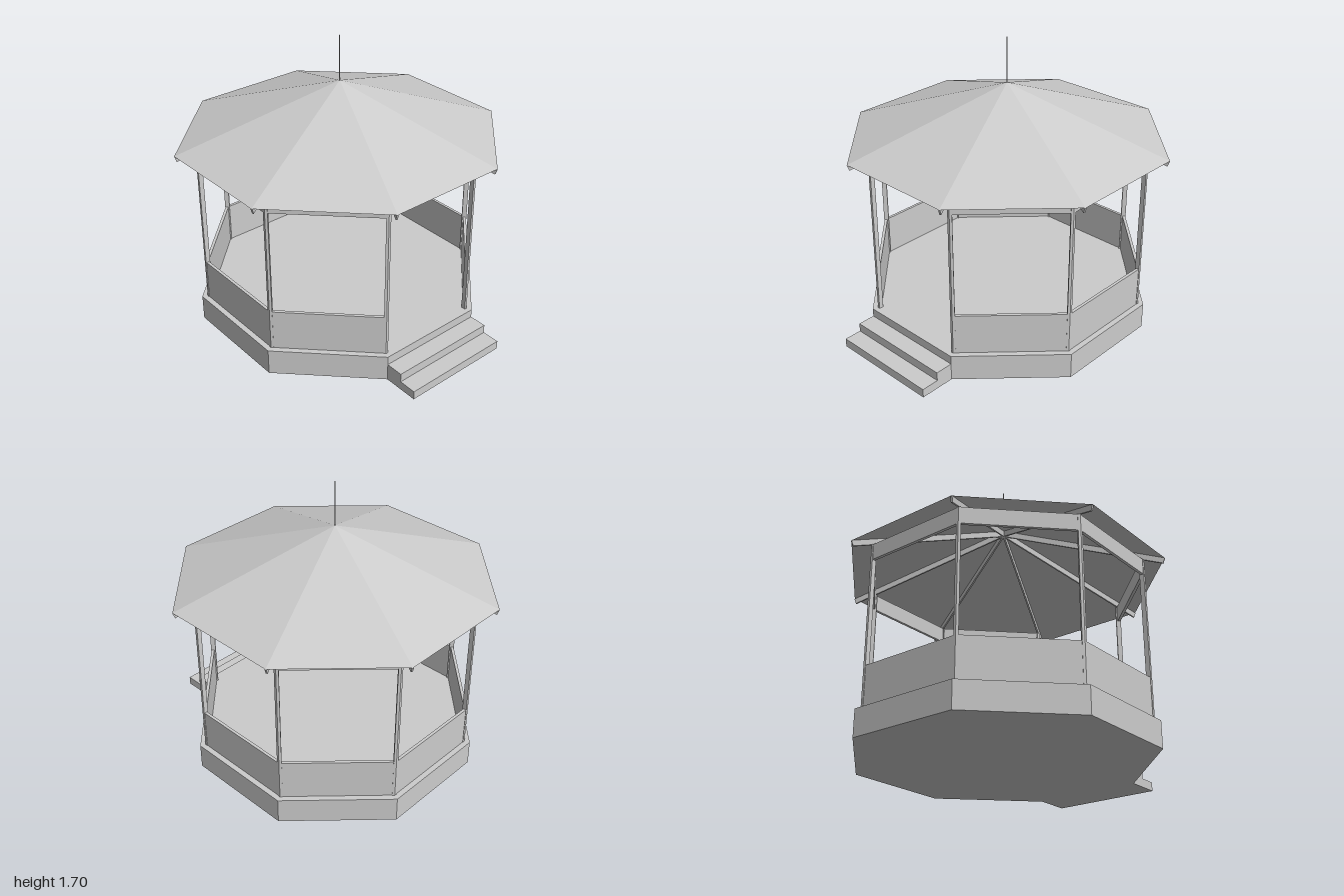
import * as THREE from 'three';

const SIDES = 8, STEP = Math.PI / 4, HALF = Math.PI / 8;
const FLOOR = 0.155, EAVE = 1.11, APEX = 1.435, ROOF_R = 0.945;
const POST_R = 0.828, POST_IN = 0.798, POST_TOP = 1.115;
const BASE_R = 0.86;
const ENTRANCE = 0; // open bay, between corner 0 (+x) and corner 1 (front right)

const mat = new THREE.MeshStandardMaterial({ color: 0xcccccc, flatShading: true });
const sheetMat = new THREE.MeshStandardMaterial({ color: 0xcccccc, flatShading: true, side: THREE.DoubleSide });

function add(parent, name, geometry, material = mat) {
  const mesh = new THREE.Mesh(geometry, material);
  mesh.name = name;
  parent.add(mesh);
  return mesh;
}

// upright prism over a plan outline of [x, z] points
function prism(plan, y0, y1) {
  const shape = new THREE.Shape(plan.map(([x, z]) => new THREE.Vector2(x, -z)));
  return new THREE.ExtrudeGeometry(shape, { depth: y1 - y0, bevelEnabled: false })
    .rotateX(-Math.PI / 2)
    .translate(0, y0, 0);
}

const polar = (r, a) => [r * Math.cos(a), r * Math.sin(a)];

// mitred panel spanning one bay of the octagon
function bayPanel(i, y0, y1) {
  const a = i * STEP, b = a + STEP, out = POST_R - 0.003, inn = POST_R - 0.022;
  return prism([polar(out, a), polar(out, b), polar(inn, b), polar(inn, a)], y0, y1);
}

// bent corner post with a short flange along each neighbouring bay
function cornerPost() {
  const w = 0.0146, s = Math.sin(HALF), c = Math.cos(HALF), t = (POST_R - POST_IN) * c;
  const ox = POST_R - w * s, oz = w * c;
  const ix = ox - t * c, iz = oz - t * s;
  return prism([[POST_R, 0], [ox, oz], [ix, iz], [POST_IN, 0], [ix, -iz], [ox, -oz]], FLOOR, POST_TOP);
}

// sloping rafter with its foot cut square to the slope
function rafter() {
  const width = 0.01, drop = 0.002;
  const shape = new THREE.Shape([
    new THREE.Vector2(0, APEX - drop),
    new THREE.Vector2(0, APEX - 0.037),
    new THREE.Vector2(ROOF_R - 0.0114, EAVE - 0.033),
    new THREE.Vector2(ROOF_R, EAVE - drop),
  ]);
  return new THREE.ExtrudeGeometry(shape, { depth: width, bevelEnabled: false }).translate(0, 0, -width / 2);
}

export function createModel() {
  const model = new THREE.Group();
  model.name = 'gazebo';
  const body = new THREE.Group();
  body.name = 'pavilion';
  body.position.x = -0.055;
  model.add(body);

  // octagonal platform
  add(body, 'platform', new THREE.CylinderGeometry(BASE_R, BASE_R, FLOOR, SIDES).translate(0, FLOOR / 2, 0));

  // entrance steps, as wide as the bay
  const steps = new THREE.Group();
  steps.name = 'steps';
  steps.rotation.y = -(ENTRANCE * STEP + HALF);
  body.add(steps);
  const face = BASE_R * Math.cos(HALF), width = 2 * BASE_R * Math.sin(HALF), tread = 0.105;
  [[0, 0.052, 2], [0.052, 0.104, 1]].forEach(([y0, y1, n], i) => {
    const depth = tread * n;
    add(steps, `step${i + 1}`, new THREE.BoxGeometry(depth, y1 - y0, width)
      .translate(face + depth / 2, (y0 + y1) / 2, 0));
  });

  // posts, rafters, low walls and top beams around the octagon
  const postGeo = cornerPost(), rafterGeo = rafter();
  for (let i = 0; i < SIDES; i++) {
    add(body, 'post', postGeo).rotation.y = -i * STEP;
    add(body, 'rafter', rafterGeo).rotation.y = -i * STEP;
    if (i === ENTRANCE) continue;
    add(body, 'lowWall', bayPanel(i, FLOOR, 0.397));
    add(body, 'topBeam', bayPanel(i, 1.02, POST_TOP));
  }

  // thin roof skin and spire
  add(body, 'roof', new THREE.ConeGeometry(ROOF_R, APEX - EAVE, SIDES, 1, true)
    .translate(0, (APEX + EAVE) / 2, 0), sheetMat);
  add(body, 'spire', new THREE.CylinderGeometry(0.003, 0.003, 0.3, 8).translate(0, 1.55, 0));

  return model;
}
